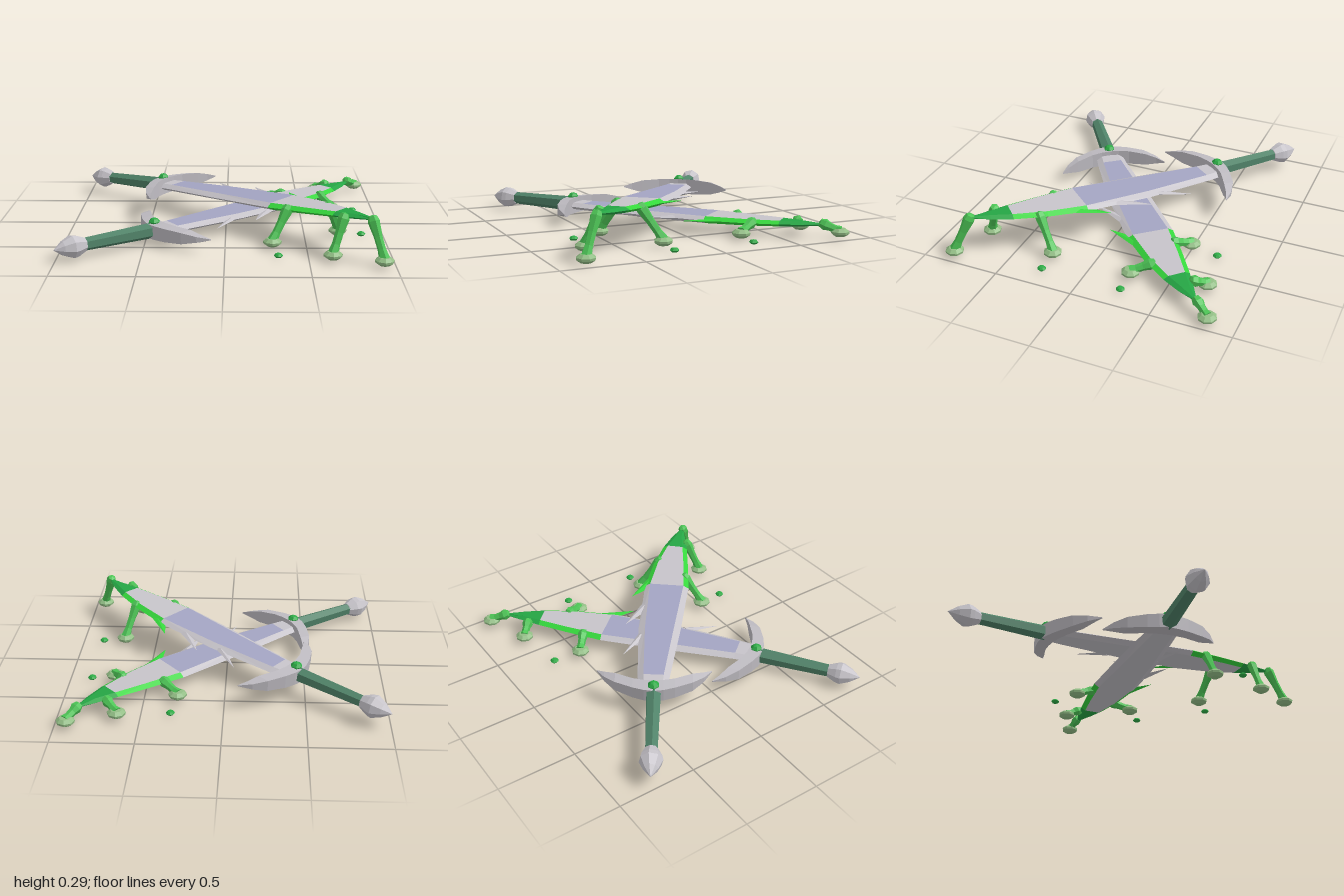
import * as THREE from 'three';
import { ConvexGeometry } from 'three/addons/geometries/ConvexGeometry.js';

const V = (x, y, z) => new THREE.Vector3(x, y, z);
const UP = V(0, 1, 0);
const material = (name, color) => {
  const m = new THREE.MeshStandardMaterial({ color });
  m.name = name;
  return m;
};

// Faceted solid between matching rings; pick(segment, side) names the group of each face
function loft(rings, pick) {
  const parts = {};
  const tri = (key, ...pts) => (parts[key] ??= []).push(...pts);
  const n = rings[0].length;
  for (let s = 0; s < rings.length - 1; s++) {
    for (let i = 0; i < n; i++) {
      const j = (i + 1) % n, a = rings[s], b = rings[s + 1], key = pick(s, i);
      tri(key, a[i], a[j], b[j]);
      tri(key, a[i], b[j], b[i]);
    }
  }
  for (let i = 1; i < n - 1; i++) {
    const f = rings[0], l = rings.at(-1);
    tri(pick(0, 0), f[0], f[i + 1], f[i]);
    tri(pick(rings.length - 2, 0), l[0], l[i], l[i + 1]);
  }
  return Object.entries(parts).map(([key, pts]) => [key, new THREE.BufferGeometry().setFromPoints(pts)]);
}

// Turned shape whose profile [radius, distance] runs from p towards q
function turned(p, q, profile, sides) {
  const g = new THREE.LatheGeometry(profile.map(([r, h]) => new THREE.Vector2(r, h)), sides);
  g.applyQuaternion(new THREE.Quaternion().setFromUnitVectors(UP, q.clone().sub(p).normalize()));
  return g.translate(p.x, p.y, p.z);
}

export function createModel() {
  const mats = {
    steel: material('steel', 0xc6c3c9),
    guard: material('guard steel', 0xbdbac0),
    inlay: material('blue grey inlay', 0xa3a4c2),
    venom: material('bright venom', 0x35d83c),
    tip: material('venom tip', 0x25a544),
    grip: material('grip green', 0x4f8268),
    drip: material('drip green', 0x4cc455),
    foot: material('pale drop', 0x92bd85),
    gem: material('gem green', 0x2cab45),
  };

  // Frame of the handle and guard
  const origin = V(-0.44, 0, -0.4);
  const dir = V(0.816, 0, 0.578), side = V(0.578, 0, -0.816);
  const at = (u, v, y = 0) => origin.clone().addScaledVector(dir, u).addScaledVector(side, v).setY(y);

  function buildSword(name, mirror, height, tilt) {
    const group = new THREE.Group();
    group.name = name;
    const pose = new THREE.Matrix4()
      .makeRotationAxis(V(-0.63, 0, 0.78).normalize(), tilt)
      .setPosition(0, height, 0);

    // Bakes pose, mirroring and flat facets into a mesh
    function add(part, geo, mat, posed = true) {
      const g = geo.index ? geo.toNonIndexed() : geo;
      if (posed) g.applyMatrix4(pose);
      if (mirror) {
        g.scale(1, 1, -1);
        const p = g.attributes.position;
        for (let i = 0; i < p.count; i += 3) {
          const b = V().fromBufferAttribute(p, i + 1), c = V().fromBufferAttribute(p, i + 2);
          p.setXYZ(i + 1, c.x, c.y, c.z);
          p.setXYZ(i + 2, b.x, b.y, b.z);
        }
      }
      g.computeVertexNormals();
      const mesh = new THREE.Mesh(g, mats[mat]);
      mesh.name = part;
      group.add(mesh);
    }

    // Curved blade: x, z, half width, half width of the flat, half thickness
    const stations = [
      [-0.44, -0.405, 0.09, 0.055, 0.022],
      [-0.335, -0.33, 0.1, 0.063, 0.022],
      [0.02, -0.045, 0.138, 0.095, 0.022],
      [0.36, 0.245, 0.15, 0.115, 0.022],
      [0.55, 0.41, 0.122, 0.09, 0.02],
      [0.7, 0.552, 0.085, 0.053, 0.018],
      [0.79, 0.645, 0.05, 0.022, 0.015],
      [0.875, 0.74, 0.004, 0.002, 0.006],
    ];
    const rings = stations.map(([x, z, w, f, t], i) => {
      const a = stations[Math.max(i - 1, 0)], b = stations[Math.min(i + 1, stations.length - 1)];
      const n = V(b[1] - a[1], 0, a[0] - b[0]).normalize();
      return [[w, 0], [f, t], [-f, t], [-w, 0], [-f, -t], [f, -t]]
        .map(([k, y]) => V(x, y, z).addScaledVector(n, k));
    });
    const bladeColour = (s, i) => {
      if (s >= 5) return 'tip';
      if (i === 1) return s === 1 || s === 2 ? 'inlay' : 'steel';
      return i === 4 || s < 3 ? 'steel' : 'venom';
    };
    for (const [key, g] of loft(rings, bladeColour)) add(`${key} blade`, g, key);

    // Swept-back barbs: tip, near base, far base
    [
      [[-0.055, -0.38], [0.0, -0.2], [0.08, -0.15], 'steel'],
      [[0.19, -0.2], [0.22, -0.04], [0.33, 0.05], 'steel'],
      [[0.41, -0.01], [0.42, 0.15], [0.57, 0.3], 'venom'],
    ].forEach(([t, a, b, mat]) => {
      const mx = (a[0] + b[0]) / 2, mz = (a[1] + b[1]) / 2;
      add('barb', new ConvexGeometry([
        V(t[0], 0, t[1]), V(a[0], 0, a[1]), V(b[0], 0, b[1]), V(mx, 0.014, mz), V(mx, -0.014, mz),
      ]), mat);
    });

    // Crescent guard: offset, outer edge, inner edge, half height
    const half = [
      [0.06, -0.035, 0.045, 0.052], [0.13, -0.012, 0.062, 0.05],
      [0.24, 0.042, 0.115, 0.042], [0.31, 0.105, 0.148, 0.022], [0.36, 0.178, 0.182, 0.003],
    ];
    const crescent = [...half.map(([v, ...r]) => [-v, ...r]).reverse(), [0, -0.045, 0.04, 0.053], ...half];
    const guardRings = crescent.map(([v, o, i, h]) => [at(o, v, h * 0.85), at(i, v, h), at(i, v, -h), at(o, v, -h * 0.85)]);
    for (const [, g] of loft(guardRings, () => 'guard')) add('guard', g, 'guard');

    // Grip, pommel and gem
    add('grip', turned(at(-0.5, 0), at(0, 0), [[0, 0], [0.04, 0], [0.05, 0.48], [0, 0.48]], 6), 'grip');
    add('pommel', turned(at(-0.685, 0), at(0, 0),
      [[0, 0], [0.045, 0.06], [0.072, 0.12], [0.066, 0.15], [0.042, 0.205], [0, 0.205]], 8), 'steel');
    add('gem', turned(at(0, 0, 0.03), at(0, 0, 1),
      [[0, 0], [0.03, 0.008], [0.038, 0.025], [0.022, 0.043], [0, 0.05]], 6), 'gem');

    // Drips: start on the blade, end in a drop near the ground
    [
      [0.39, 0.41, 0.29, 0.495], [0.71, 0.655, 0.64, 0.725],
      [0.865, 0.735, 0.93, 0.825], [0.64, 0.38, 0.71, 0.26],
    ].forEach(([x, z, fx, fz]) => {
      const start = V(x, 0.008, z).applyMatrix4(pose), end = V(fx, 0.045, fz);
      const d = start.distanceTo(end);
      add('drip', turned(start, end,
        [[0, -0.018], [0.026, -0.01], [0.036, 0.02], [0.026, d * 0.45], [0.025, d * 0.75], [0.034, d], [0, d]], 6), 'drip', false);
      add('drop', turned(V(fx, 0.01, fz), V(fx, 1, fz),
        [[0, 0], [0.032, 0.003], [0.056, 0.02], [0.058, 0.034], [0.036, 0.052], [0, 0.054]], 8), 'foot', false);
    });

    // Loose droplets on the ground
    [[0.32, 0.675], [0.86, 0.26]].forEach(([x, z]) =>
      add('droplet', turned(V(x, 0, z), V(x, 1, z),
        [[0, 0], [0.018, 0.004], [0.028, 0.015], [0.018, 0.027], [0, 0.031]], 8), 'gem', false));
    return group;
  }

  const model = new THREE.Group();
  model.name = 'crossedVenomSwords';
  model.add(buildSword('upperSword', false, 0.19, 0.064), buildSword('lowerSword', true, 0.082, 0));
  return model;
}
